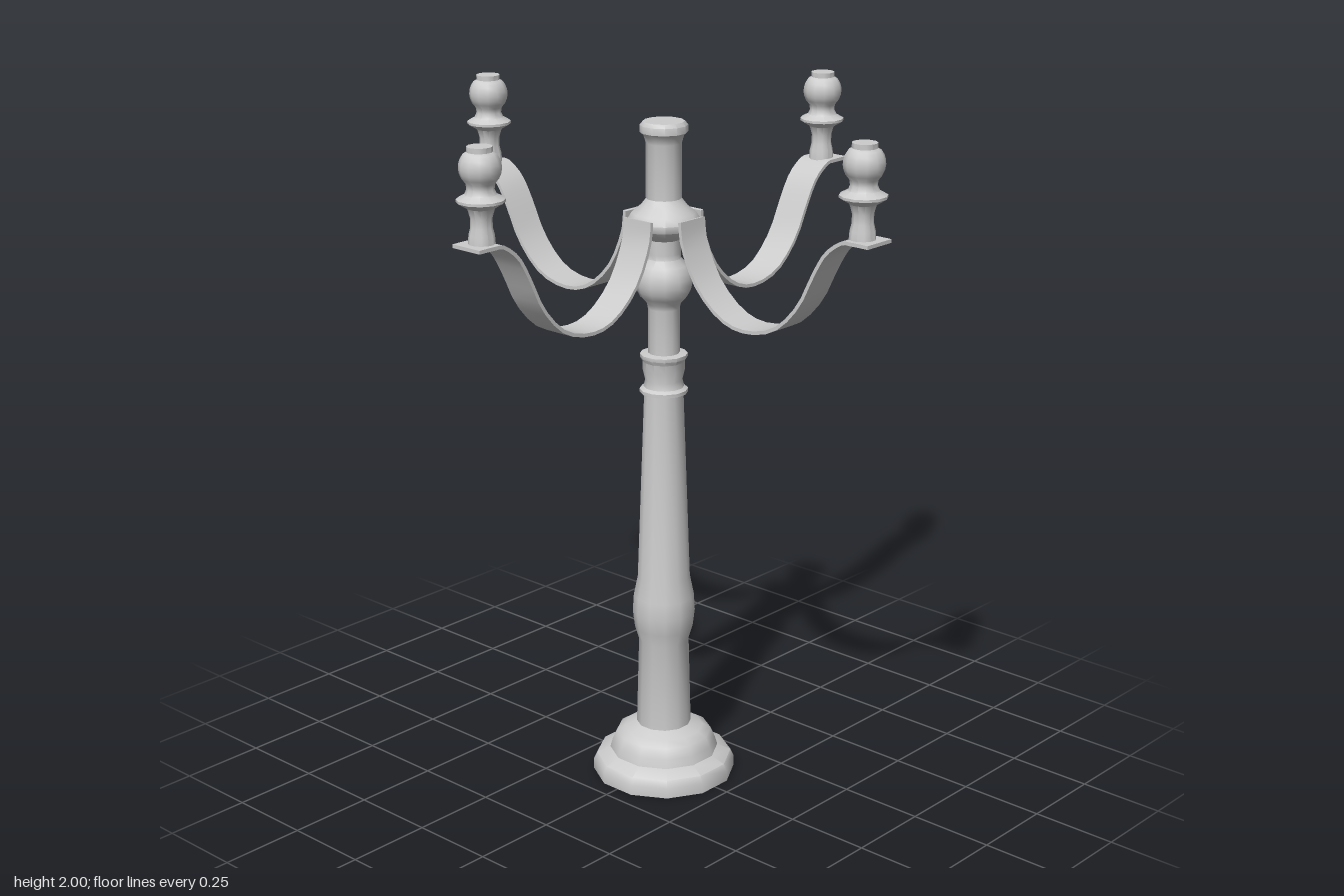
import * as THREE from 'three';
import { toCreasedNormals } from 'three/addons/utils/BufferGeometryUtils.js';

const material = new THREE.MeshStandardMaterial({ color: 0xcccccc, side: THREE.DoubleSide });

function makeMesh(name, geometry) {
  const mesh = new THREE.Mesh(toCreasedNormals(geometry, 0.75), material);
  mesh.name = name;
  return mesh;
}

const toPoints = (pairs) => pairs.map(([x, y]) => new THREE.Vector2(x, y));

// Turned part from [radius, height] pairs, listed bottom to top
function turned(name, profile, sides = 12) {
  return makeMesh(name, new THREE.LatheGeometry(toPoints(profile), sides, Math.PI / sides));
}

// Bulging part of a profile, from one height to another
function ball(radius, centre, from, to, steps = 7) {
  return Array.from({ length: steps + 1 }, (_, i) => {
    const y = from + ((to - from) * i) / steps;
    return [Math.sqrt(radius ** 2 - (y - centre) ** 2), y];
  });
}

// Flat metal strip: a curve thickened in its plane and extruded across its width
function strip(name, pairs, thickness, width) {
  const curve = new THREE.SplineCurve(toPoints(pairs));
  const upper = [], lower = [];
  const steps = 28;
  for (let i = 0; i <= steps; i++) {
    const p = curve.getPoint(i / steps);
    const t = curve.getTangent(i / steps);
    const n = new THREE.Vector2(-t.y, t.x).multiplyScalar(thickness / 2);
    upper.push(p.clone().add(n));
    lower.unshift(p.clone().sub(n));
  }
  const geometry = new THREE.ExtrudeGeometry(new THREE.Shape([...lower, ...upper]), {
    depth: width, bevelEnabled: false, steps: 1,
  });
  geometry.translate(0, 0, -width / 2);
  return makeMesh(name, geometry);
}

export function createModel() {
  const model = new THREE.Group();
  model.name = 'candelabraLampPost';

  // Hollow stepped foot
  model.add(turned('foot', [
    [0.21, 0], [0.21, 0.03], [0.2, 0.052], [0.16, 0.07], [0.153, 0.095],
    [0.14, 0.125], [0.115, 0.14], [0.08, 0.155],
  ]));

  // Tapered shaft with a swelling
  model.add(turned('shaft', [
    [0.08, 0.155], [0.073, 0.42], [0.085, 0.46], [0.091, 0.51], [0.088, 0.56],
    [0.076, 0.62], [0.056, 1.18],
  ]));

  // Double ring collar
  model.add(turned('ringCollar', [
    [0.056, 1.18], [0.069, 1.183], [0.069, 1.193], [0.058, 1.2], [0.053, 1.22],
    [0.06, 1.25], [0.06, 1.275], [0.068, 1.287], [0.068, 1.297], [0.045, 1.3],
  ]));

  // Neck with a ball
  model.add(turned('neckBall', [
    [0.045, 1.3], [0.045, 1.43], ...ball(0.081, 1.51, 1.445, 1.575), [0.048, 1.59], [0.048, 1.63],
  ]));

  // Hub that carries the arms
  model.add(turned('armHub', [
    [0.048, 1.63], [0.075, 1.645], [0.1, 1.665], [0.103, 1.685], [0.09, 1.705],
    [0.065, 1.725], [0.05, 1.745],
  ]));

  // Upper stem and flared cap
  model.add(turned('upperStem', [
    [0.05, 1.745], [0.05, 1.9], [0.056, 1.92], [0.067, 1.93], [0.067, 1.95],
    [0.058, 1.96], [0, 1.96],
  ]));

  // Four identical arms, each with a turned holder at its end
  for (let i = 0; i < 4; i++) {
    const arm = new THREE.Group();
    arm.name = 'arm' + (i + 1);
    arm.add(strip('armStrip', [
      [0.103, 1.7], [0.114, 1.63], [0.165, 1.53], [0.25, 1.457], [0.34, 1.437],
      [0.44, 1.463], [0.52, 1.54], [0.57, 1.635], [0.61, 1.7], [0.66, 1.738], [0.695, 1.742], [0.748, 1.742],
    ], 0.01, 0.1));
    const holder = turned('lampHolder', [
      [0.036, 1.743], [0.034, 1.77], [0.029, 1.79], [0.029, 1.815], [0.036, 1.84],
      [0.064, 1.857], [0.064, 1.864], [0.042, 1.876], [0.036, 1.89],
      ...ball(0.056, 1.945, 1.904, 1.981, 6),
      [0.034, 1.986], [0.034, 2], [0, 2],
    ]);
    holder.position.x = 0.692;
    arm.add(holder);
    arm.rotation.y = (i * Math.PI) / 2;
    model.add(arm);
  }

  return model;
}
